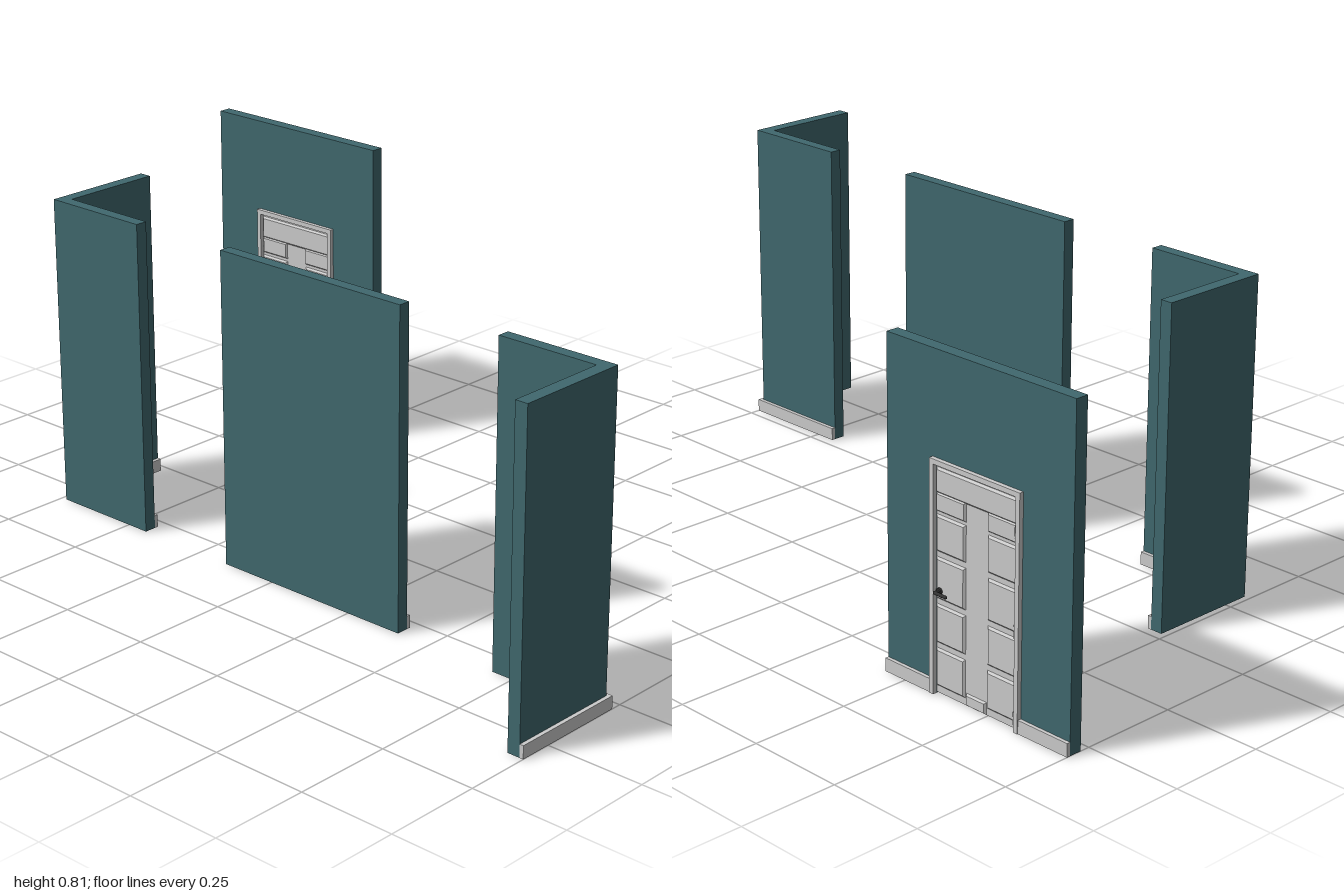
import * as THREE from 'three';

const WALL_H = 0.807, SKIRT_H = 0.033;
const wallMat = new THREE.MeshStandardMaterial({ color: 0x40686e });
const trimMat = new THREE.MeshStandardMaterial({ color: 0xcccccc });
const darkMat = new THREE.MeshStandardMaterial({ color: 0x333333 });

function add(parent, name, geometry, material) {
  const mesh = new THREE.Mesh(geometry, material);
  mesh.name = name;
  parent.add(mesh);
  return mesh;
}

// Upright prism over a floor outline given as [x, z] corners
function prism(outline, height) {
  const shape = new THREE.Shape(outline.map(([x, z]) => new THREE.Vector2(x, -z)));
  return new THREE.ExtrudeGeometry(shape, { depth: height, bevelEnabled: false }).rotateX(-Math.PI / 2);
}

// Box given by its limits
function block(x0, x1, y0, y1, z0, z1) {
  return new THREE.BoxGeometry(x1 - x0, y1 - y0, z1 - z0)
    .translate((x0 + x1) / 2, (y0 + y1) / 2, (z0 + z1) / 2);
}

// Raised panel facing +z with sloping edges
function raisedPanel(w, h, depth, slope) {
  const g = new THREE.BoxGeometry(w, h, depth).translate(0, 0, depth / 2);
  const p = g.attributes.position;
  for (let i = 0; i < p.count; i++) {
    if (p.getZ(i) < depth / 2) continue;
    p.setX(i, p.getX(i) - Math.sign(p.getX(i)) * slope);
    p.setY(i, p.getY(i) - Math.sign(p.getY(i)) * slope);
  }
  const flat = g.toNonIndexed();
  flat.computeVertexNormals();
  return flat;
}

function section(name, wall, skirting) {
  const g = new THREE.Group();
  g.name = name;
  add(g, 'wall', prism(wall, WALL_H), wallMat);
  add(g, 'skirting', prism(skirting, SKIRT_H), trimMat);
  return g;
}

// One face of the door in local space: x across (0 = door centre), z outward
function doorFace(handleSide) {
  const g = new THREE.Group();
  g.name = 'doorFace';
  // Panels in two columns, separated by a central stile
  const rows = [[0.02, 0.112], [0.125, 0.218], [0.231, 0.33], [0.343, 0.43]];
  for (const side of [-1, 1]) {
    for (const [y0, y1] of rows) {
      add(g, 'panel', raisedPanel(0.09, y1 - y0, 0.005, 0.005), trimMat)
        .position.set(side * 0.079, (y0 + y1) / 2, 0);
    }
  }
  // Top rail and central blocks that step past the panel rows
  add(g, 'topRail', raisedPanel(0.25, 0.06, 0.005, 0.005), trimMat).position.set(0, 0.51, 0);
  for (const side of [-1, 1]) {
    add(g, 'topBlock', raisedPanel(0.09, 0.045, 0.005, 0.004), trimMat).position.set(side * 0.079, 0.46, 0);
  }
  add(g, 'bottomBlock', raisedPanel(0.062, 0.03, 0.005, 0.004), trimMat).position.set(0, 0.018, 0);

  // Handle: rosette, neck and lever pointing to the door centre
  const handle = new THREE.Group();
  handle.name = 'handle';
  add(handle, 'rosette', new THREE.CylinderGeometry(0.008, 0.008, 0.006, 16).rotateX(Math.PI / 2), darkMat)
    .position.z = 0.007;
  add(handle, 'neck', new THREE.CylinderGeometry(0.004, 0.004, 0.016, 12).rotateX(Math.PI / 2), darkMat)
    .position.z = 0.013;
  add(handle, 'lever', new THREE.CapsuleGeometry(0.004, 0.034, 4, 10).rotateZ(Math.PI / 2), darkMat)
    .position.set(-handleSide * 0.016, 0, 0.02);
  handle.position.set(handleSide * 0.11, 0.253, 0);
  g.add(handle);
  return g;
}

function doorSection() {
  const g = new THREE.Group();
  g.name = 'doorSection';
  const x0 = 0.525, x1 = 0.558, z0 = -1, z1 = -0.437;
  const fz0 = -0.854, fz1 = -0.581, top = 0.56, rim = 0.012;

  // Wall with a doorway: drawn in the z-y plane, extruded along x
  const wall = new THREE.Shape([
    [z0, 0], [fz0 + rim, 0], [fz0 + rim, top - rim], [fz1 - rim, top - rim],
    [fz1 - rim, 0], [z1, 0], [z1, WALL_H], [z0, WALL_H],
  ].map(([z, y]) => new THREE.Vector2(-z, y)));
  const wallGeo = new THREE.ExtrudeGeometry(wall, { depth: x1 - x0, bevelEnabled: false });
  add(g, 'wall', wallGeo.rotateY(Math.PI / 2).translate(x0, 0, 0), wallMat);

  // Skirting on the right face only, on both sides of the door
  add(g, 'skirting', block(x1, 0.567, 0, SKIRT_H, z0, fz0), trimMat);
  add(g, 'skirting', block(x1, 0.567, 0, SKIRT_H, fz1, z1), trimMat);

  // Door frame
  add(g, 'frameJamb', block(0.514, 0.569, 0, top, fz0, fz0 + rim), trimMat);
  add(g, 'frameJamb', block(0.514, 0.569, 0, top, fz1 - rim, fz1), trimMat);
  add(g, 'frameHead', block(0.514, 0.569, top - rim, top, fz0 + rim, fz1 - rim), trimMat);

  // Door leaf with the same relief on both faces
  add(g, 'doorLeaf', block(0.526, 0.557, 0.003, top - rim, fz0 + rim, fz1 - rim), trimMat);
  for (const side of [-1, 1]) {
    const face = doorFace(-side);
    face.rotation.y = side * Math.PI / 2;
    face.position.set(side > 0 ? 0.557 : 0.526, 0, (fz0 + fz1) / 2);
    g.add(face);
  }

  // Hinges
  for (const y of [0.03, 0.235, 0.465]) {
    add(g, 'hinge', new THREE.CylinderGeometry(0.004, 0.004, 0.03, 10), trimMat)
      .position.set(0.561, y, fz0 + rim + 0.004);
  }
  return g;
}

export function createModel() {
  const model = new THREE.Group();
  model.name = 'wallSet';
  const a = -0.318, b = -0.287, s = -0.277; // left row: back face, front face, skirting face

  // Outside corner at the front
  model.add(section('outsideCorner',
    [[-0.584, 0.99], [b, 0.99], [b, 0.692], [a, 0.692], [a, 0.957], [-0.584, 0.957]],
    [[-0.584, 1], [s, 1], [s, 0.692], [b, 0.692], [b, 0.99], [-0.584, 0.99]]));

  // Straight wall
  model.add(section('straightWall',
    [[a, 0.408], [b, 0.408], [b, -0.154], [a, -0.154]],
    [[b, 0.408], [s, 0.408], [s, -0.154], [b, -0.154]]));

  // Inside corner at the back
  model.add(section('insideCorner',
    [[a, -0.735], [a, -0.438], [b, -0.438], [b, -0.703], [-0.023, -0.703], [-0.023, -0.735]],
    [[b, -0.703], [b, -0.438], [s, -0.438], [s, -0.693], [-0.023, -0.693], [-0.023, -0.703]]));

  model.add(doorSection());
  return model;
}
